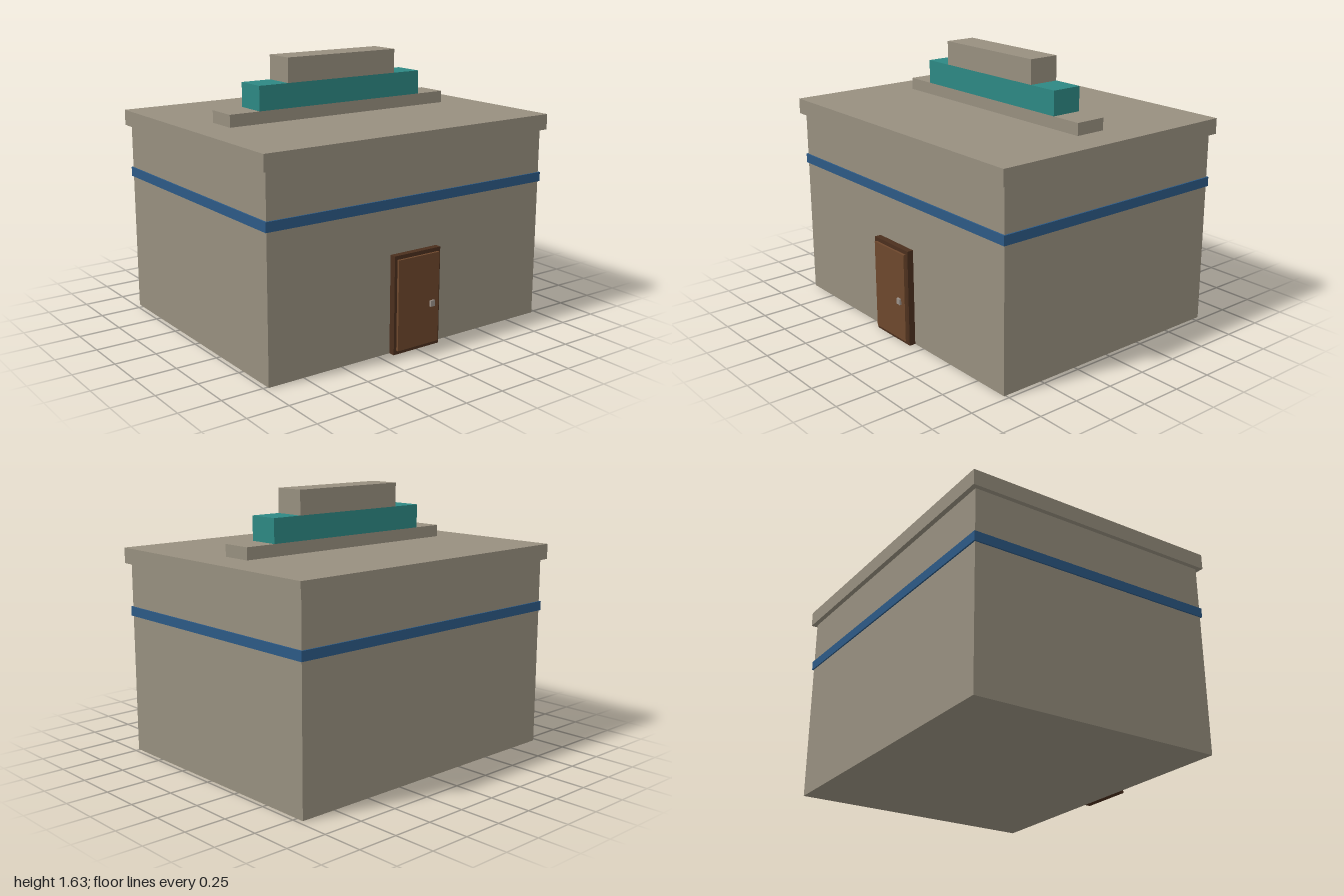
import * as THREE from 'three';

const material = (name, color) => {
  const m = new THREE.MeshStandardMaterial({ color });
  m.name = name;
  return m;
};

export function createModel() {
  const stone = material('stone', 0x978f7f);
  const blue = material('blue', 0x2c5985);
  const teal = material('teal', 0x2d8883);
  const darkWood = material('darkWood', 0x4b2f1d);
  const wood = material('wood', 0x6d472c);
  const metal = material('metal', 0x9b9189);

  const model = new THREE.Group();
  model.name = 'building';

  // Box given by its extents along each axis
  const block = (parent, name, mat, [x0, x1], [y0, y1], [z0, z1]) => {
    const mesh = new THREE.Mesh(new THREE.BoxGeometry(x1 - x0, y1 - y0, z1 - z0), mat);
    mesh.position.set((x0 + x1) / 2, (y0 + y1) / 2, (z0 + z1) / 2);
    mesh.name = name;
    parent.add(mesh);
  };

  // Walls, painted band and overhanging roof slab
  block(model, 'walls', stone, [-0.972, 0.972], [0, 1.17], [-0.797, 0.761]);
  block(model, 'wallBand', blue, [-0.981, 0.981], [0.849, 0.906], [-0.806, 0.77]);
  block(model, 'roofSlab', stone, [-1, 1], [1.17, 1.264], [-0.826, 0.79]);

  // Stepped parapet on the roof
  const parapet = new THREE.Group();
  parapet.name = 'steppedParapet';
  const depth = [-0.116, 0.078];
  block(parapet, 'lowerStep', stone, [-0.778, 0.778], [1.264, 1.337], depth);
  block(parapet, 'middleStep', teal, [-0.583, 0.583], [1.337, 1.483], depth);
  block(parapet, 'upperStep', stone, [-0.389, 0.389], [1.483, 1.63], depth);
  model.add(parapet);

  // Front door
  const door = new THREE.Group();
  door.name = 'door';
  block(door, 'doorFrame', darkWood, [-0.165, 0.165], [0, 0.584], [0.761, 0.8]);
  block(door, 'doorPanel', wood, [-0.147, 0.147], [0.024, 0.561], [0.8, 0.815]);
  block(door, 'doorKnob', metal, [0.081, 0.112], [0.245, 0.281], [0.815, 0.826]);
  model.add(door);

  return model;
}
